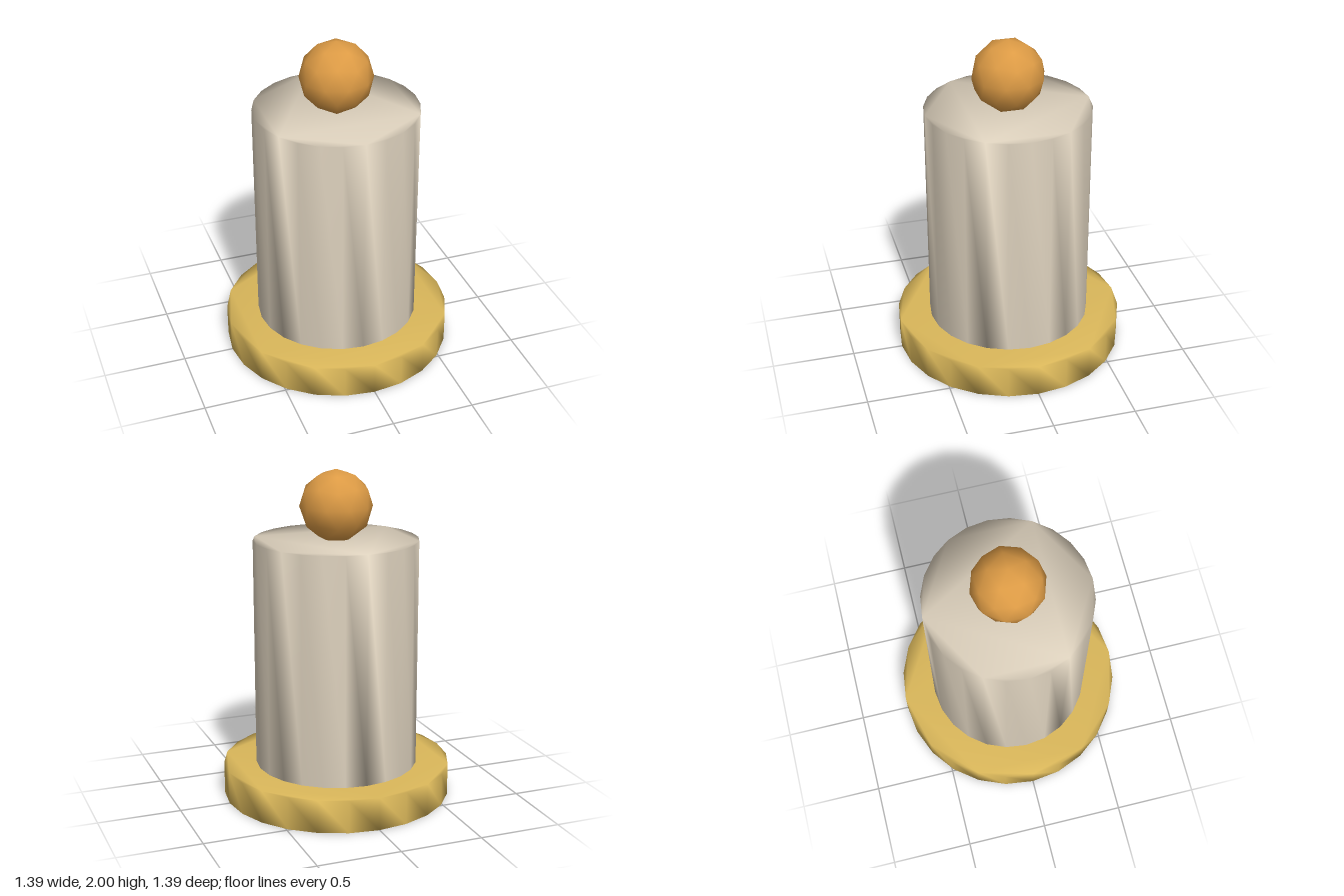
import * as THREE from 'three';
import { mergeVertices } from 'three/addons/utils/BufferGeometryUtils.js';

const SIDES = 24;

// Solid prism standing on y = bottom, shaded smoothly over its rims
function roundPrism(radius, bottom, top) {
  const outline = [];
  for (let i = 0; i < SIDES; i++) {
    const a = (i / SIDES) * Math.PI * 2;
    outline.push(new THREE.Vector2(radius * Math.cos(a), radius * Math.sin(a)));
  }
  const geometry = new THREE.ExtrudeGeometry(new THREE.Shape(outline), {
    depth: top - bottom, bevelEnabled: false, steps: 1,
  });
  geometry.rotateX(-Math.PI / 2);
  geometry.translate(0, bottom, 0);
  geometry.deleteAttribute('normal');
  geometry.deleteAttribute('uv');
  geometry.clearGroups();
  const merged = mergeVertices(geometry, 1e-4);
  merged.computeVertexNormals();
  return merged;
}

function material(name, color) {
  const m = new THREE.MeshStandardMaterial({ color });
  m.name = name;
  return m;
}

export function createModel() {
  const group = new THREE.Group();
  group.name = 'candle';

  const add = (name, geometry, mat) => {
    const mesh = new THREE.Mesh(geometry, mat);
    mesh.name = name;
    group.add(mesh);
    return mesh;
  };

  // Wide dish and the column standing on it
  add('base', roundPrism(0.693, 0, 0.198), material('gold', 0xdab75a));
  add('column', roundPrism(0.495, 0.198, 1.584), material('cream', 0xddd1bd));

  // Faceted ball, turned so that one corner points straight up
  const ball = new THREE.IcosahedronGeometry(0.218, 1);
  ball.rotateZ(-Math.atan(2 / (1 + Math.sqrt(5))));
  add('flameBall', ball, material('orange', 0xdd9b45)).position.y = 1.782;

  return group;
}
